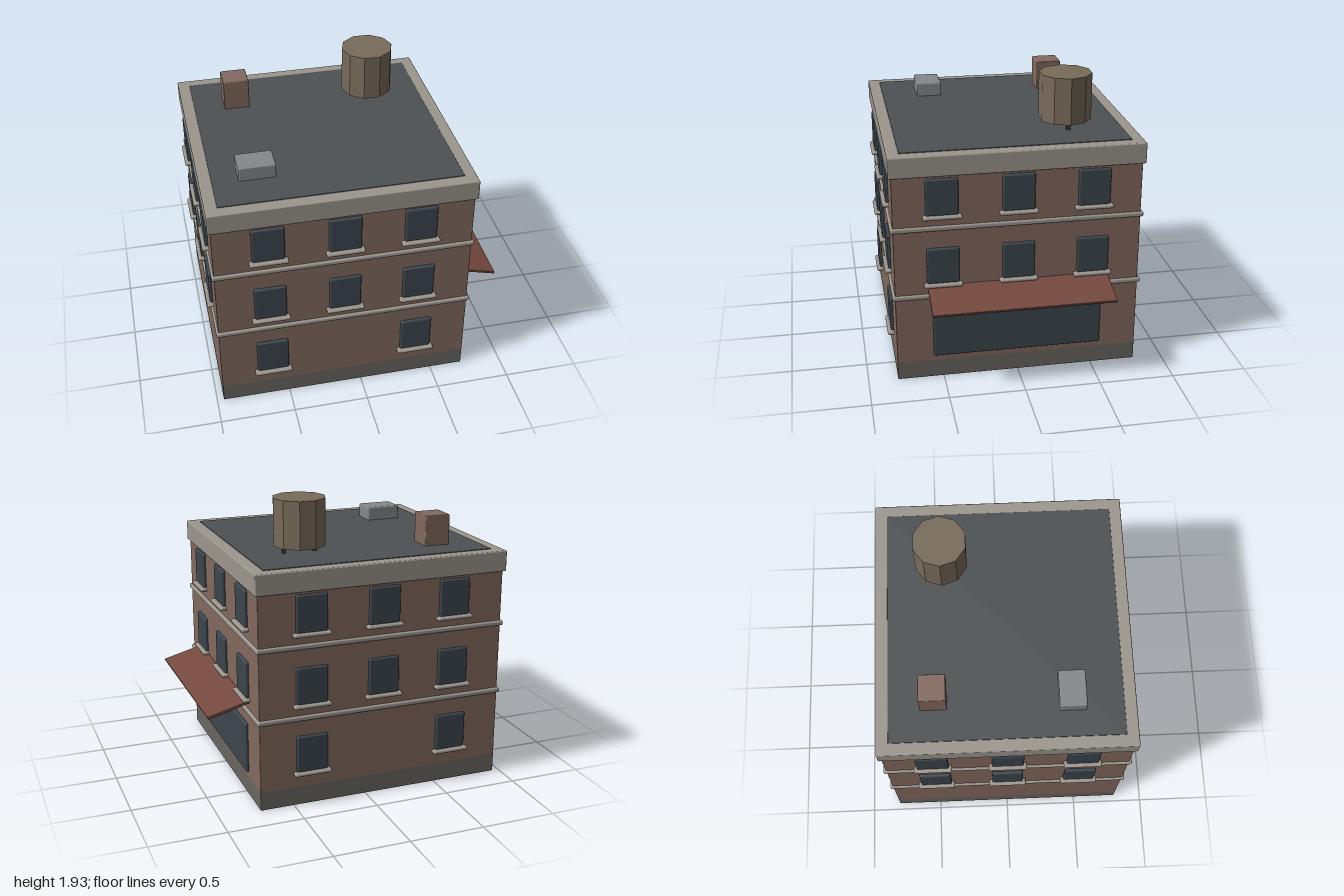
import * as THREE from 'three';
import { RoundedBoxGeometry } from 'three/addons/geometries/RoundedBoxGeometry.js';

const mat = (color) => new THREE.MeshStandardMaterial({ color });

export function createModel() {
  const model = new THREE.Group();
  const brick = mat(0x82695f), stone = mat(0x9b968d), plinthMat = mat(0x686660);
  const glass = mat(0x3c464d), roofMat = mat(0x4d5153), wood = mat(0x786b5b);
  const awningMat = mat(0x75493f), metal = mat(0x84888b), legMat = mat(0x44403c);

  const CX = -0.115, HX = 0.84, HZ = 0.805; // building centre and half sizes

  // Box with softened edges, placed by its centre
  function box(name, material, [w, h, d], [x, y, z], r = 0.006, parent = model) {
    const mesh = new THREE.Mesh(new RoundedBoxGeometry(w, h, d, 2, r), material);
    mesh.name = name;
    mesh.position.set(x, y, z);
    parent.add(mesh);
    return mesh;
  }

  // Main body
  box('plinth', plinthMat, [HX * 2, 0.13, HZ * 2], [CX, 0.065, 0], 0.004);
  box('walls', brick, [HX * 2, 1.34, HZ * 2], [CX, 0.79, 0], 0.004);
  for (const y of [0.6, 1.075]) {
    box('floorBand', stone, [1.71, 0.034, 1.645], [CX, y, 0], 0.012);
  }
  box('cornice', stone, [1.715, 0.138, 1.645], [CX, 1.497, 0], 0.008);
  box('roof', roofMat, [1.56, 0.03, 1.49], [CX, 1.556, 0], 0.002);

  // Window: glass panel with a sill below, facing +z from the wall plane
  function windowUnit(u, y) {
    const g = new THREE.Group();
    g.name = 'window';
    box('pane', glass, [0.21, 0.246, 0.04], [0, 0, 0], 0.012, g);
    box('sill', stone, [0.25, 0.025, 0.055], [0, -0.134, 0.0145], 0.012, g);
    g.position.set(u, y, 0);
    return g;
  }

  // Each facade is a group turned outward; ground floor windows vary by side
  const facades = [
    { name: 'frontFacade', turn: 0, x: CX, z: HZ, ground: [-1, 1] },
    { name: 'backFacade', turn: Math.PI, x: CX, z: -HZ, ground: [-1, 1] },
    { name: 'leftFacade', turn: Math.PI / 2, x: CX + HX, z: 0, ground: [] },
    { name: 'rightFacade', turn: -Math.PI / 2, x: CX - HX, z: 0, ground: [] },
  ];
  for (const { name, turn, x, z, ground } of facades) {
    const facade = new THREE.Group();
    facade.name = name;
    const floors = [[0.355, ground], [0.817, [-1, 0, 1]], [1.289, [-1, 0, 1]]];
    for (const [y, columns] of floors) {
      for (const c of columns) facade.add(windowUnit(c * 0.491, y));
    }
    facade.position.set(x, 0, z);
    facade.rotation.y = turn;
    model.add(facade);
  }

  // Shop front and its sloping awning
  box('shopWindow', glass, [0.04, 0.345, 1.122], [CX + HX, 0.335, 0.004], 0.012);
  const awning = box('awning', awningMat, [0.285, 0.018, 1.19], [0.861, 0.632, 0], 0.005);
  awning.rotation.z = -0.26;

  // Rooftop: chimney, vent unit and water tank on legs
  box('chimney', brick, [0.172, 0.22, 0.172], [-0.606, 1.662, -0.458]);
  box('ventUnit', metal, [0.238, 0.11, 0.172], [-0.607, 1.609, 0.418], 0.01);
  const tank = new THREE.Mesh(new THREE.CylinderGeometry(0.174, 0.174, 0.31, 10), wood.clone());
  tank.material.flatShading = true;
  tank.name = 'waterTank';
  tank.rotation.y = Math.PI / 2;
  tank.position.set(0.304, 1.775, -0.385);
  model.add(tank);
  for (const s of [-1, 1]) {
    box('tankLeg', legMat, [0.026, 0.07, 0.026], [0.304 + s * 0.105, 1.595, -0.385], 0.003);
  }

  return model;
}
